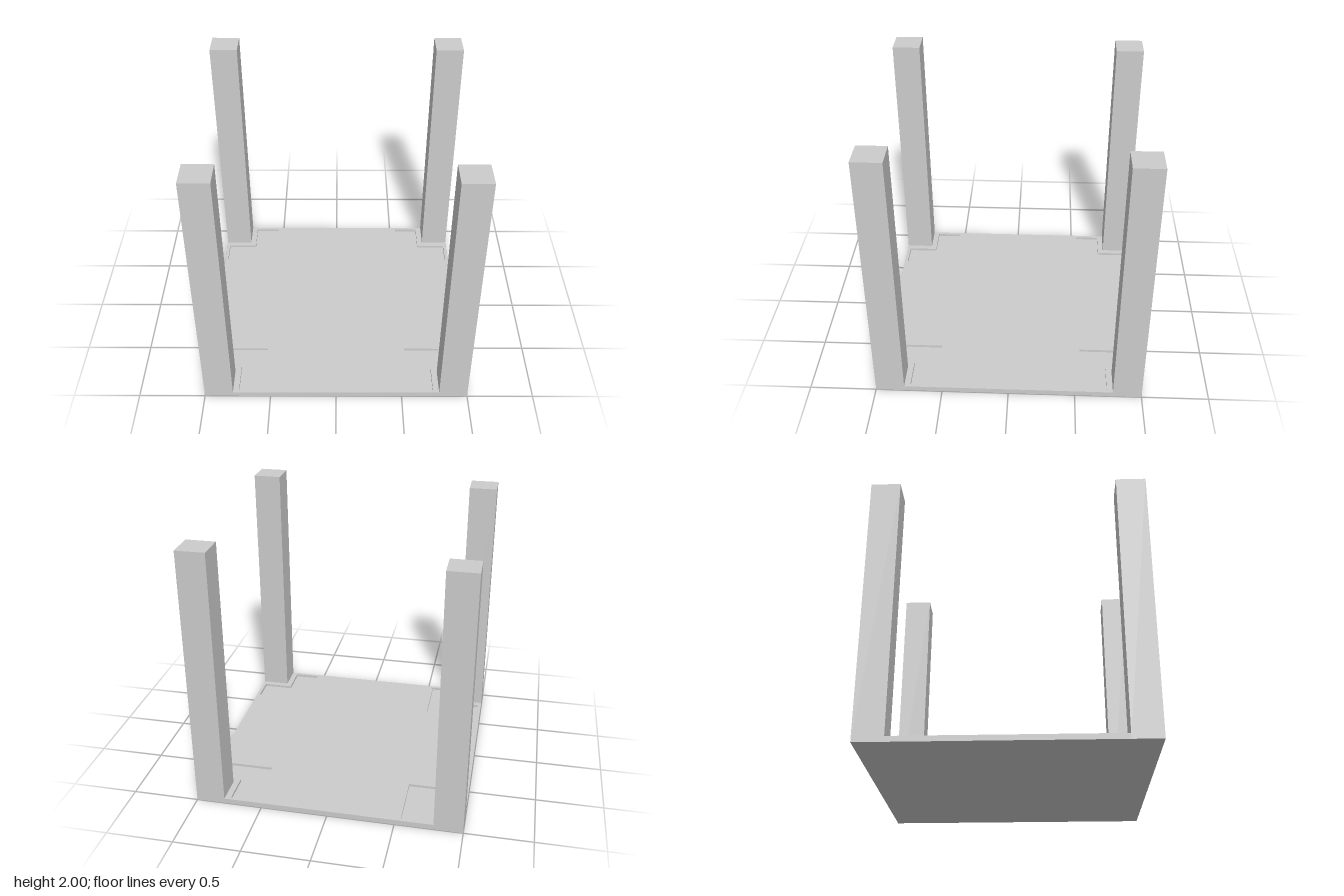
import * as THREE from 'three';

const HALF = 1;        // half width of the base
const POST = 0.785;    // inner face of the corner posts
const BASE = 0.04;     // base thickness
const RECESS = 0.02;   // depth of the L-shaped recesses
const HEIGHT = 2;

const corners = [[1, 1], [-1, 1], [-1, -1], [1, -1]];

// Square outline, notched at each corner to receive a post
function baseOutline() {
  const points = [];
  corners.forEach(([sx, sy], i) => {
    const notch = [[HALF, POST], [POST, POST], [POST, HALF]];
    if (i % 2) notch.reverse();
    notch.forEach(([x, y]) => points.push(new THREE.Vector2(sx * x, sy * y)));
  });
  return new THREE.Shape(points);
}

// L-shaped pocket that wraps the inner corner of a post
function recessPath(sx, sy) {
  const a = 0.545, b = 0.74, c = 0.975;
  const outline = [[a, a], [c, a], [c, b], [b, b], [b, c], [a, c]];
  return new THREE.Path(outline.map(([x, y]) => new THREE.Vector2(sx * x, sy * y)));
}

function layer(name, shape, y, depth, material) {
  const geometry = new THREE.ExtrudeGeometry(shape, { depth, bevelEnabled: false });
  geometry.rotateX(-Math.PI / 2);
  const mesh = new THREE.Mesh(geometry, material);
  mesh.name = name;
  mesh.position.y = y;
  return mesh;
}

export function createModel() {
  const group = new THREE.Group();
  group.name = 'cornerPostBase';
  const material = new THREE.MeshStandardMaterial({ color: 0xcccccc });

  // Base: solid floor below, pocketed layer above
  const topShape = baseOutline();
  corners.forEach(([sx, sy]) => topShape.holes.push(recessPath(sx, sy)));
  group.add(layer('baseFloor', baseOutline(), 0, BASE - RECESS, material));
  group.add(layer('baseTopWithRecesses', topShape, BASE - RECESS, RECESS, material));

  // Four square posts, flush with the corners of the base
  const width = HALF - POST;
  const postGeometry = new THREE.BoxGeometry(width, HEIGHT, width);
  for (const [sx, sz] of corners) {
    const post = new THREE.Mesh(postGeometry, material);
    post.name = `${sz > 0 ? 'front' : 'back'}${sx > 0 ? 'Left' : 'Right'}Post`;
    post.position.set(sx * (HALF - width / 2), HEIGHT / 2, sz * (HALF - width / 2));
    group.add(post);
  }
  return group;
}
